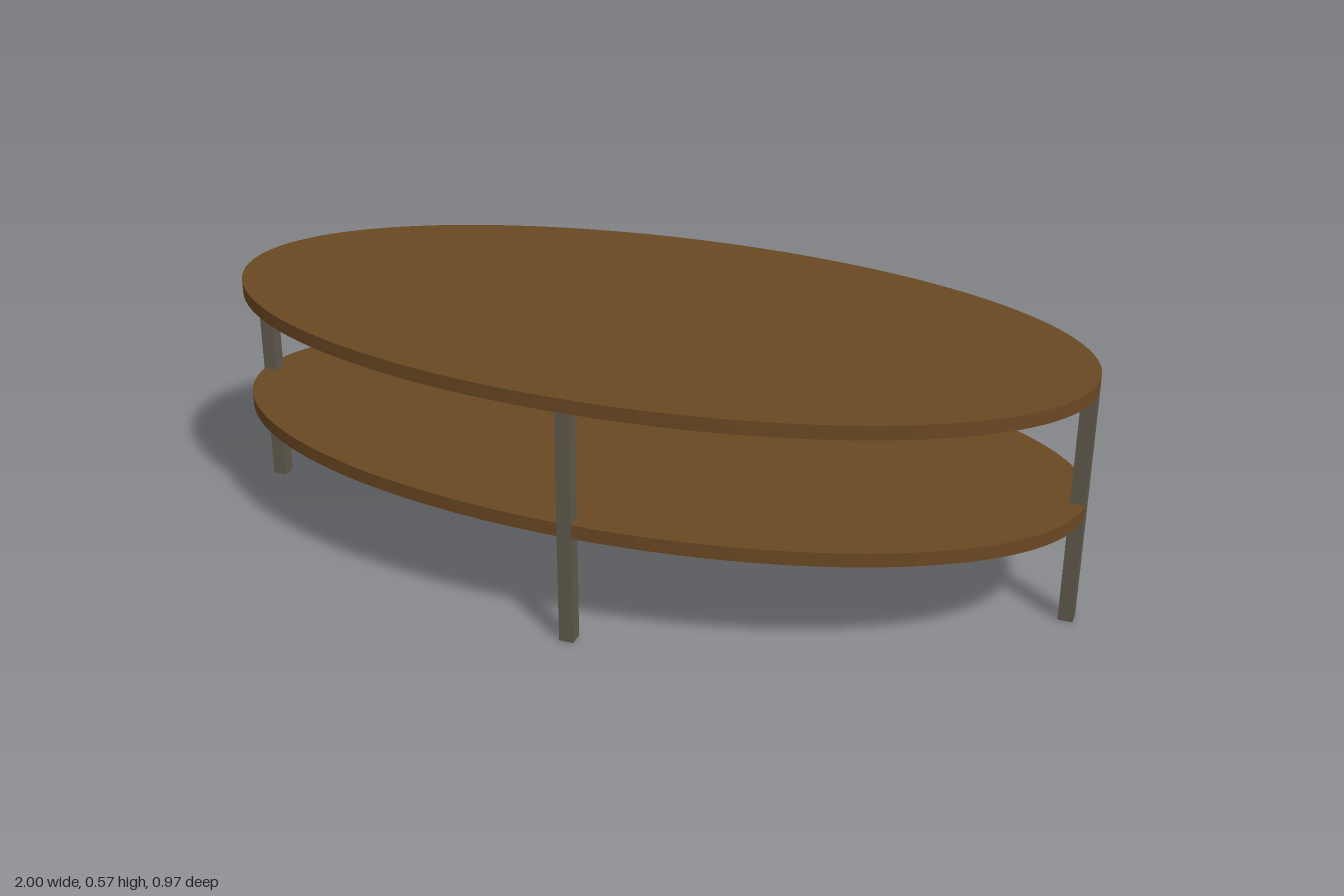
import * as THREE from 'three';

const RX = 1, RZ = 0.486;      // oval radii
const THICK = 0.032;           // board thickness
const INSET = 0.065, RECESS = 0.014; // rim width and underside recess
const LEG = 0.033;
const TOP_Y = 0.574, SHELF_Y = 0.287;
const SEG = 96;

export function createModel() {
  const wood = new THREE.MeshStandardMaterial({ color: 0x6a4823, side: THREE.DoubleSide });
  wood.name = 'brown wood';
  const metal = new THREE.MeshStandardMaterial({ color: 0x5f594c });
  metal.name = 'grey metal';

  const model = new THREE.Group();
  model.name = 'ovalTable';

  const add = (parent, name, geometry, material, x, y, z) => {
    const mesh = new THREE.Mesh(geometry, material);
    mesh.name = name;
    mesh.position.set(x, y, z);
    parent.add(mesh);
  };

  const oval = (rx, rz) => new THREE.Shape().absellipse(0, 0, rx, rz, 0, Math.PI * 2);
  const flat = (shape, facing) => new THREE.ShapeGeometry(shape, SEG).rotateX(-facing * Math.PI / 2);
  const wall = (rx, rz, h) => new THREE.CylinderGeometry(1, 1, h, SEG, 1, true).scale(rx, 1, rz);

  // Oval board with a rim around a shallow recess underneath
  const board = (name, topY) => {
    const group = new THREE.Group();
    group.name = name;
    const ix = RX - INSET, iz = RZ - INSET;
    const rim = oval(RX, RZ);
    rim.holes.push(oval(ix, iz));
    add(group, 'upperFace', flat(oval(RX, RZ), 1), wood, 0, 0, 0);
    add(group, 'outerEdge', wall(RX, RZ, THICK), wood, 0, -THICK / 2, 0);
    add(group, 'rimUnderside', flat(rim, -1), wood, 0, -THICK, 0);
    add(group, 'recessEdge', wall(ix, iz, RECESS), wood, 0, -THICK + RECESS / 2, 0);
    add(group, 'recessedPanel', flat(oval(ix, iz), -1), wood, 0, -THICK + RECESS, 0);
    group.position.y = topY;
    model.add(group);
  };
  board('tableTop', TOP_Y);
  board('lowerShelf', SHELF_Y);

  // Four square legs at the ends of both axes, up to the underside of the top
  const h = TOP_Y - THICK;
  const lx = RX - LEG / 2, lz = RZ - LEG / 2;
  const legs = [['leftLeg', lx, 0], ['rightLeg', -lx, 0], ['frontLeg', 0, lz], ['backLeg', 0, -lz]];
  for (const [name, x, z] of legs) {
    add(model, name, new THREE.BoxGeometry(LEG, h, LEG), metal, x, h / 2, z);
  }
  return model;
}
